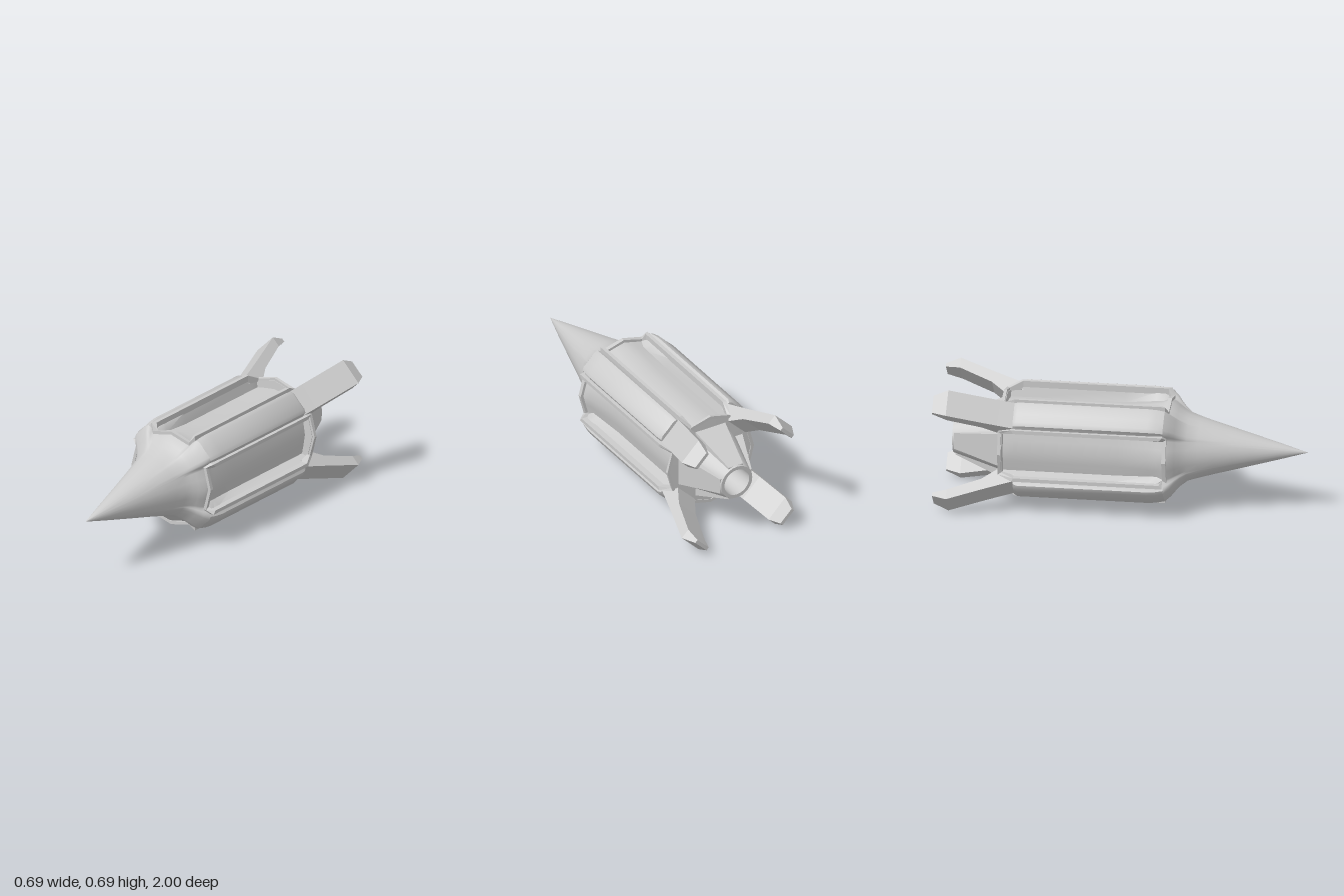
import * as THREE from 'three';
import { toCreasedNormals } from 'three/addons/utils/BufferGeometryUtils.js';

const material = new THREE.MeshStandardMaterial({ color: 0xcccccc });

// Skin a list of rings (arrays of [x, y, z], clockwise around the direction of travel)
function loft(rings, crease = 0.6, closed = false) {
  const n = rings[0].length, index = [];
  const last = closed ? rings.length : rings.length - 1;
  for (let i = 0; i < last; i++) {
    for (let j = 0; j < n; j++) {
      const a = i * n + j, b = i * n + (j + 1) % n;
      const next = ((i + 1) % rings.length) * n;
      const c = next + j, d = next + (j + 1) % n;
      index.push(a, b, c, b, d, c);
    }
  }
  const g = new THREE.BufferGeometry();
  g.setAttribute('position', new THREE.Float32BufferAttribute(rings.flat(2), 3));
  g.setIndex(index);
  return toCreasedNormals(g, crease);
}

function part(name, geometry) {
  const mesh = new THREE.Mesh(geometry, material);
  mesh.name = name;
  return mesh;
}

// Expand an eighth of a section (panel centre to lobe diagonal) to a full ring
function fullRing(half, z) {
  const side = [...half.slice(1, -1).reverse().map(([t, r]) => [-t, r]), ...half];
  const ring = [];
  for (let k = 0; k < 4; k++) {
    for (const [t, r] of side) {
      const [x, y] = [[t, r], [r, -t], [-t, -r], [-r, t]][k];
      ring.push([x, y, z]);
    }
  }
  return ring;
}

// Section pieces as [tangent, radius]
const SKIN = [[0, 0.258], [0.06, 0.243], [0.112, 0.229], [0.125, 0.228]];
const RECESS = [[0, 0.21], [0.06, 0.201], [0.115, 0.19], [0.13, 0.25]];
const RAMP = [[0, 0.242], [0.06, 0.228], [0.1, 0.216], [0.13, 0.25]];
const LOBE = [[0.15, 0.258], [0.172, 0.271], [0.193, 0.263], [0.227, 0.227]];
const CORE = [[0.135, 0.225], [0.145, 0.215], [0.16, 0.2], [0.178, 0.178]];

const scaled = (pts, s) => pts.map(([t, r]) => [t * s, r * s]);
const round = (pts, radius) => pts.map(([t, r]) => {
  const a = Math.atan2(t, r);
  return [Math.sin(a) * radius, Math.cos(a) * radius];
});
const mix = (p, q, f) => p.map(([t, r], i) => [t + (q[i][0] - t) * f, r + (q[i][1] - r) * f]);

// Nose cone swelling smoothly into four lobes: [z, round radius, blend to the lobed section]
function noseGeometry() {
  const full = [...SKIN, ...scaled(LOBE, 0.955)];
  const stations = [
    [1, 0, 0], [0.85, 0.044, 0], [0.7, 0.086, 0], [0.6, 0.114, 0], [0.5, 0.139, 0.02], [0.42, 0.161, 0.04],
    [0.36, 0.175, 0.1], [0.325, 0.184, 0.27], [0.3, 0.19, 0.48], [0.275, 0.2, 0.74], [0.245, 0.2, 1],
  ];
  return loft(stations.map(([z, r, f]) => fullRing(mix(round(full, r), full, f), z)), 1.2);
}

// Lobed body with recesses whose floors ramp up towards the nose
function bodyGeometry() {
  const sections = [
    [0.245, SKIN, scaled(LOBE, 0.955)],
    [0.205, RAMP, scaled(LOBE, 0.985)],
    [0.16, mix(RECESS, RAMP, 0.78), LOBE],
    [-0.01, RECESS, LOBE],
    [-0.55, RECESS, LOBE],
    [-0.57, RECESS, scaled(LOBE, 0.965)],
    [-0.572, RECESS, CORE],
    [-0.63, RECESS, CORE],
    [-0.632, SKIN, CORE],
    [-0.648, SKIN, CORE],
    [-0.65, round(SKIN, 0.14), round(CORE, 0.14)],
  ];
  return loft(sections.map(([z, panel, lobe]) => fullRing([...panel, ...lobe], z)), 0.75);
}

// Raised rim around a recess: outer [t, z], inner [t, z], top radius, depth
function frameGeometry() {
  const right = [
    [0, 0.262, 0, 0.24, 0.273, 0.018],
    [0.124, 0.262, 0.112, 0.24, 0.241, 0.018],
    [0.148, 0.243, 0.128, 0.225, 0.277, 0.05],
    [0.148, -0.575, 0.128, -0.565, 0.277, 0.05],
    [0.124, -0.652, 0.112, -0.635, 0.241, 0.018],
    [0, -0.652, 0, -0.635, 0.273, 0.018],
  ];
  const left = right.slice(1, -1).reverse().map(([t, z, ti, ...rest]) => [-t, z, -ti, ...rest]);
  const rings = [...right, ...left].map(([t, z, ti, zi, r, depth]) => [
    [t, r, z], [t, r - depth, z], [ti, r - depth, zi], [ti, r, zi],
  ]);
  return loft(rings, 0.2, true);
}

// Tapered block from stations [z, inner, outer, half width], closed at the back
function blockGeometry(stations) {
  const rings = stations.map(([z, lo, hi, w]) => [[-w, hi, z], [w, hi, z], [w, lo, z], [-w, lo, z]]);
  const [z, lo, hi] = stations.at(-1);
  rings.push(Array(4).fill([0, (lo + hi) / 2, z]));
  return loft(rings, 0.2);
}

// Hollow exhaust cone
function nozzleGeometry() {
  const n = 24;
  const profile = [[0.185, -0.64], [0.098, -0.92], [0.078, -0.92], [0.07, -0.74], [0, -0.74]];
  return loft(profile.map(([r, z]) => Array.from({ length: n }, (_, i) => {
    const a = (i / n) * Math.PI * 2;
    return [Math.sin(a) * r, Math.cos(a) * r, z];
  })));
}

export function createModel() {
  const model = new THREE.Group();
  model.name = 'rocket';
  const craft = new THREE.Group();
  craft.name = 'craft';
  craft.position.y = 0.348;
  model.add(craft);

  craft.add(part('nose', noseGeometry()), part('body', bodyGeometry()), part('nozzle', nozzleGeometry()));

  const frame = frameGeometry();
  const fin = blockGeometry([
    [-0.565, 0.25, 0.29, 0.075], [-0.64, 0.25, 0.315, 0.075], [-0.66, 0.225, 0.322, 0.075],
    [-0.74, 0.285, 0.35, 0.075], [-0.92, 0.358, 0.416, 0.075], [-1, 0.37, 0.39, 0.05],
  ]);
  const rib = blockGeometry([[-0.64, 0.12, 0.205, 0.095], [-0.91, 0.08, 0.1, 0.045]]);

  // Four frames and ribs on the sides, four fins on the diagonals
  for (let k = 0; k < 4; k++) {
    const side = new THREE.Group();
    side.name = 'side' + (k + 1);
    side.rotation.z = -k * Math.PI / 2;
    const tailFin = part('tailFin', fin);
    tailFin.rotation.z = -Math.PI / 4;
    side.add(part('recessFrame', frame), part('nozzleRib', rib), tailFin);
    craft.add(side);
  }
  return model;
}
